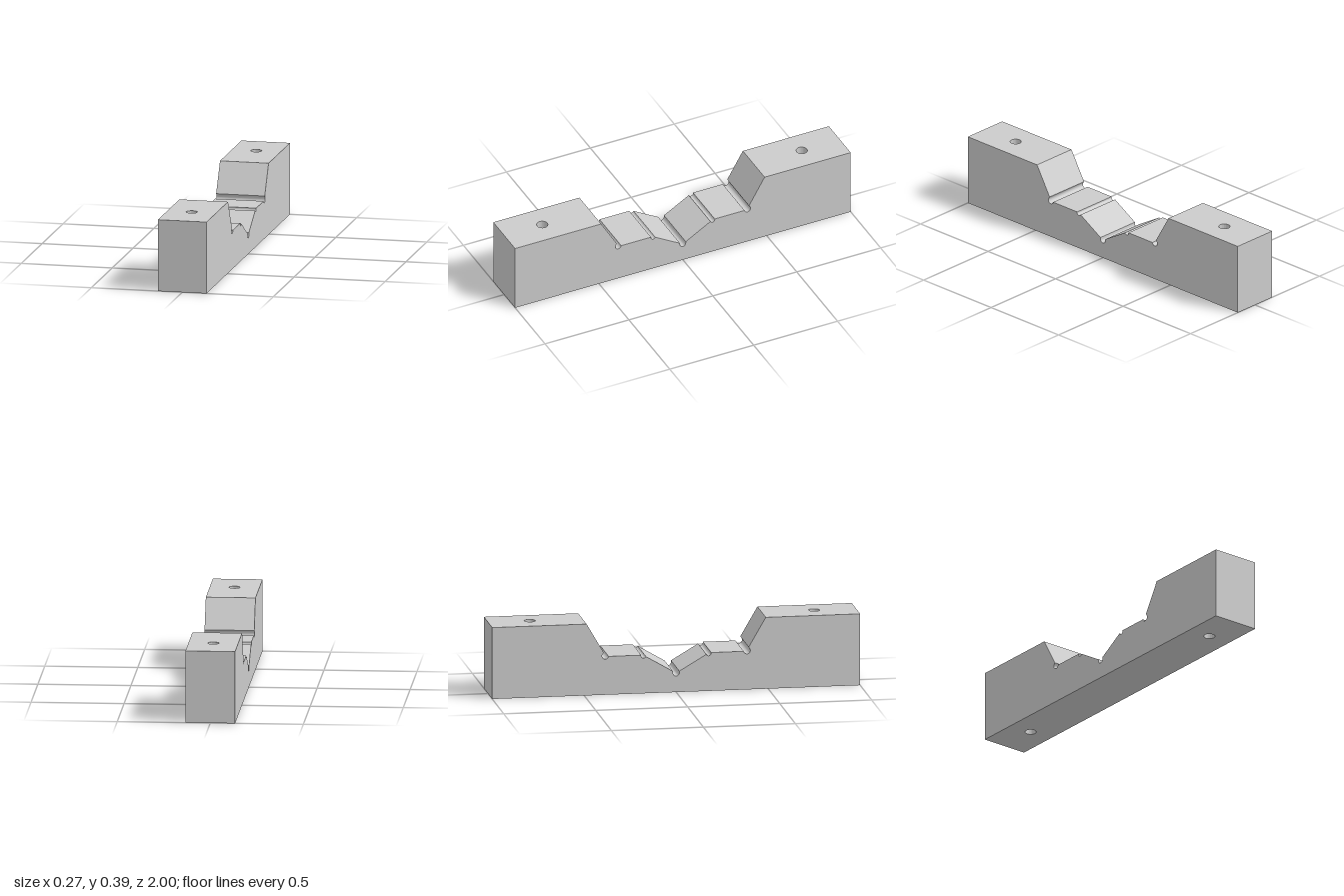
import * as THREE from 'three';
import { toCreasedNormals } from 'three/addons/utils/BufferGeometryUtils.js';

const WIDTH = 0.267, HEIGHT = 0.392, SEAM = 0.487, CREASE = 0.4;
const HOLE_Z = 0.773, HOLE_R = 0.03;

// Points [z, y] on an arc, angles in degrees
function arc(z, y, r, from, to, steps) {
  return Array.from({ length: steps + 1 }, (_, i) => {
    const a = THREE.MathUtils.degToRad(from + (to - from) * i / steps);
    return [z + r * Math.cos(a), y + r * Math.sin(a)];
  });
}

// Remove the hidden faces where the sections join, then smooth the curves
function finish(geometry) {
  const g = geometry.index ? geometry.toNonIndexed() : geometry;
  const p = g.attributes.position;
  const kept = [];
  for (let i = 0; i < p.count; i += 3) {
    const onSeam = [SEAM, -SEAM].some(s => [0, 1, 2].every(k => Math.abs(p.getZ(i + k) - s) < 1e-5));
    if (onSeam) continue;
    for (let k = 0; k < 3; k++) kept.push(p.getX(i + k), p.getY(i + k), p.getZ(i + k));
  }
  const out = new THREE.BufferGeometry();
  out.setAttribute('position', new THREE.Float32BufferAttribute(kept, 3));
  return toCreasedNormals(out, CREASE);
}

// Stepped V-shaped middle section, extruded across the width
function bedGeometry() {
  const half = [
    [SEAM, HEIGHT],
    [0.394, 0.232],
    ...arc(0.385, 0.213, 0.018, 30, -170, 14),      // relief at the foot of the steep slope
    [0.367, 0.21],
    [0.19, 0.21],
    ...arc(0.177, 0.206, 0.0135, 0, -159, 10),      // relief at the ledge edge
    [0.017, 0.1145],
    ...arc(0, 0.105, 0.017, 0, -90, 7),             // rounded slot at the bottom
  ];
  const mirrored = half.slice(0, -1).reverse().map(([z, y]) => [-z, y]);
  const outline = [[-SEAM, 0], [SEAM, 0], ...half, ...mirrored];
  const shape = new THREE.Shape(outline.map(([z, y]) => new THREE.Vector2(z, y)));
  const g = new THREE.ExtrudeGeometry(shape, { depth: WIDTH, bevelEnabled: false });
  g.translate(0, 0, -WIDTH / 2).rotateY(-Math.PI / 2);
  return finish(g);
}

// Full-height end section with a vertical through hole
function endGeometry() {
  const w = WIDTH / 2;
  const shape = new THREE.Shape([
    [-w, -1], [w, -1], [w, -SEAM], [-w, -SEAM],
  ].map(([x, y]) => new THREE.Vector2(x, y)));
  const hole = new THREE.Path();
  hole.absarc(0, -HOLE_Z, HOLE_R, 0, Math.PI * 2, true);
  shape.holes.push(hole);
  const g = new THREE.ExtrudeGeometry(shape, { depth: HEIGHT, bevelEnabled: false, curveSegments: 32 });
  g.rotateX(-Math.PI / 2);
  return finish(g);
}

export function createModel() {
  const grey = new THREE.MeshStandardMaterial({ color: 0xcccccc });
  grey.name = 'light grey';
  const model = new THREE.Group();
  model.name = 'grooveBlock';
  const add = (name, geometry) => {
    const mesh = new THREE.Mesh(geometry, grey);
    mesh.name = name;
    model.add(mesh);
  };
  add('steppedBed', bedGeometry());
  add('frontEnd', endGeometry());
  add('backEnd', endGeometry().rotateY(Math.PI));
  return model;
}
